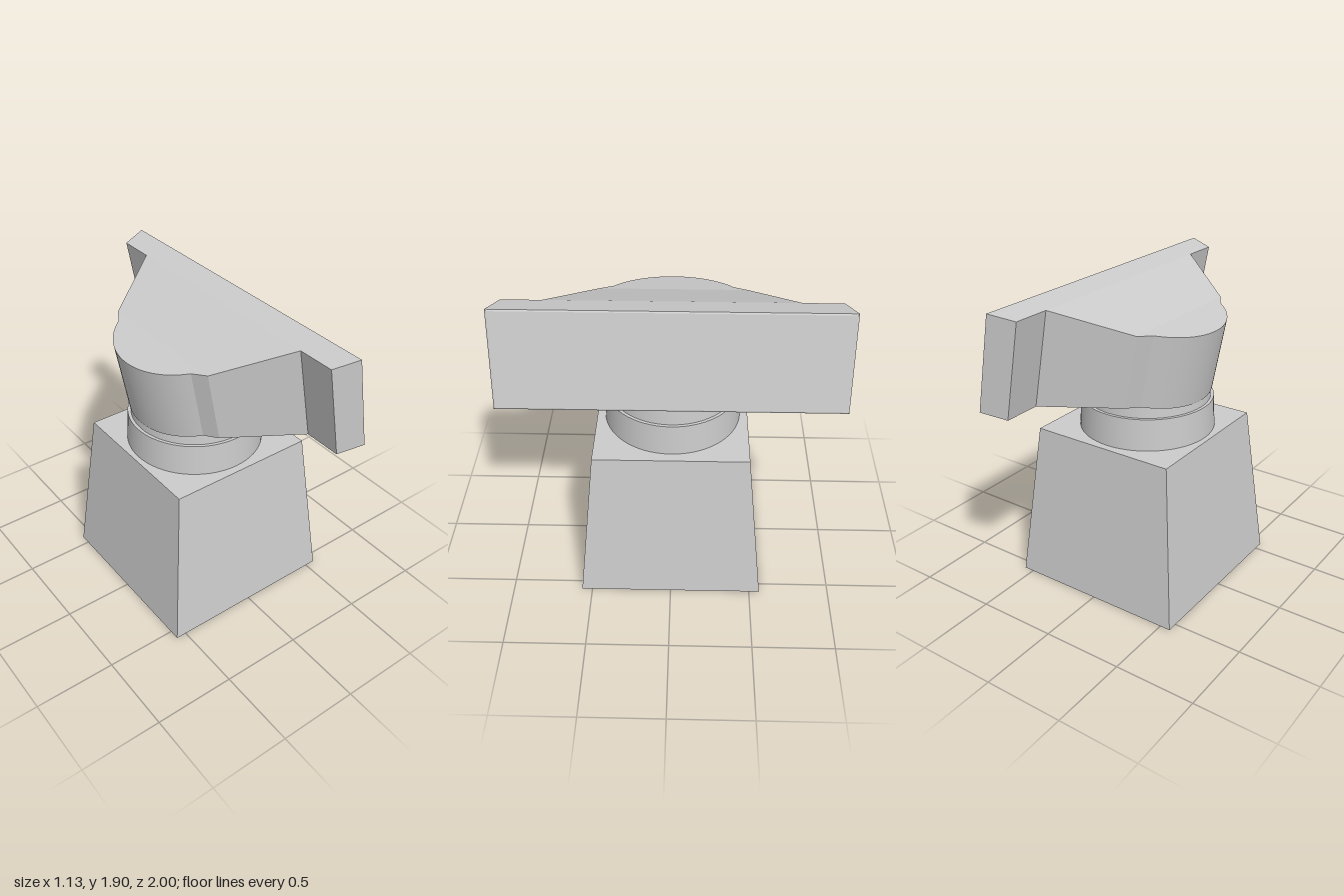
import * as THREE from 'three';
import { toCreasedNormals } from 'three/addons/utils/BufferGeometryUtils.js';

const material = new THREE.MeshStandardMaterial({ color: 0xcccccc });

function addMesh(parent, name, geometry, x = 0, y = 0) {
  const mesh = new THREE.Mesh(geometry, material);
  mesh.name = name;
  mesh.position.set(x, y, 0);
  parent.add(mesh);
  return mesh;
}

// Joins rectangular sections along x; each is [x, half height, half width].
function loftRectangles(sections) {
  const positions = [];
  const index = [];
  for (const [x, h, w] of sections) {
    positions.push(x, -h, -w, x, h, -w, x, h, w, x, -h, w);
  }
  for (let i = 0; i < sections.length - 1; i++) {
    for (let j = 0; j < 4; j++) {
      const k = (j + 1) % 4;
      const a = i * 4 + j, b = i * 4 + k;
      index.push(a, b, b + 4, a, b + 4, a + 4);
    }
  }
  const e = (sections.length - 1) * 4;
  index.push(0, 2, 1, 0, 3, 2, e, e + 1, e + 2, e, e + 2, e + 3);
  const geometry = new THREE.BufferGeometry();
  geometry.setAttribute('position', new THREE.Float32BufferAttribute(positions, 3));
  geometry.setIndex(index);
  return toCreasedNormals(geometry, 0.12);
}

export function createModel() {
  const model = new THREE.Group();
  model.name = 'pedestalDisplay';

  // Tapered square pedestal
  const pedestal = new THREE.CylinderGeometry(0.462 * Math.SQRT2, 0.565 * Math.SQRT2, 1, 4);
  pedestal.rotateY(Math.PI / 4);
  addMesh(model, 'pedestal', toCreasedNormals(pedestal, 0.3), 0, 0.5);

  // Swivel collar and the narrower neck that runs up into the head
  addMesh(model, 'collar', new THREE.CylinderGeometry(0.405, 0.415, 0.195, 64), -0.015, 1.0975);
  addMesh(model, 'neck', new THREE.CylinderGeometry(0.375, 0.388, 0.18, 64), -0.015, 1.26);

  // Head: rounded back, flaring sides, then a wide screen slab
  const sections = [];
  const radius = 0.43, sweep = 0.976, steps = 14;
  for (let i = 0; i <= steps; i++) {
    const a = (sweep * i) / steps;
    sections.push([-0.165 + radius * (1 - Math.cos(a)), 0.226, radius * Math.sin(a)]);
  }
  sections.push(
    [0.075, 0.226, 0.44],
    [0.488, 0.297, 0.715],
    [0.488, 0.297, 0.945],
    [0.645, 0.297, 1],
    [0.65, 0.288, 0.99],
  );
  const head = addMesh(model, 'tiltedHead', loftRectangles(sections), -0.282, 1.493);
  head.rotation.z = 0.187;

  return model;
}
